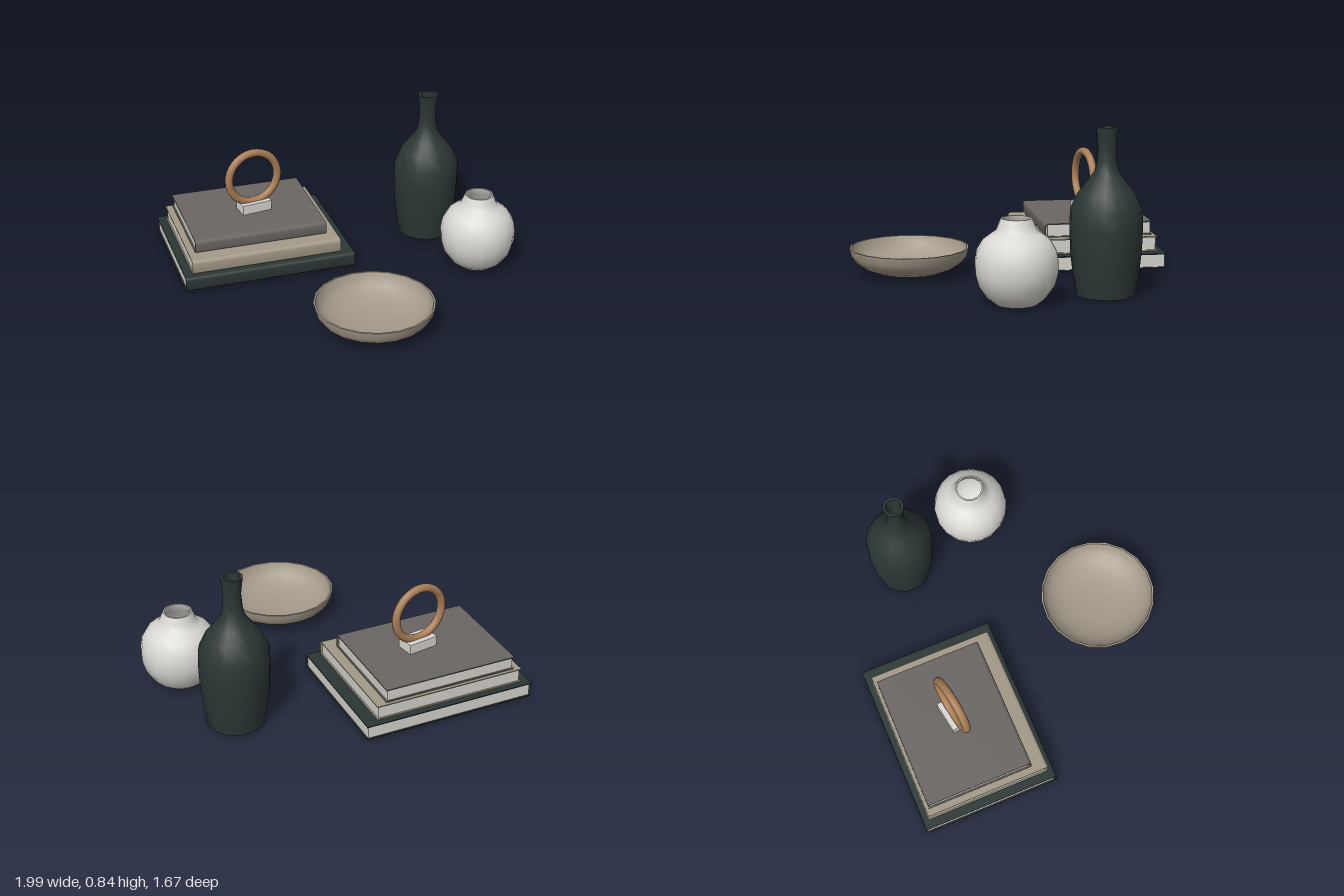
import * as THREE from 'three';
import { toCreasedNormals } from 'three/addons/utils/BufferGeometryUtils.js';

const mat = (name, color) => {
  const m = new THREE.MeshStandardMaterial({ color });
  m.name = name;
  return m;
};

const add = (parent, name, geometry, material, x = 0, y = 0, z = 0) => {
  const mesh = new THREE.Mesh(geometry, material);
  mesh.name = name;
  mesh.position.set(x, y, z);
  parent.add(mesh);
  return mesh;
};

// Turned vessel: outer wall from the base up, over the rim and down the inside
const turned = (points, sides) => toCreasedNormals(
  new THREE.LatheGeometry(points.map(([r, y]) => new THREE.Vector2(r, y)), sides), 0.75);

// Hardback book: C-shaped cover with a rounded spine at +z, page block inside
function book(name, w, h, d, coverMaterial, pageMaterial) {
  const g = new THREE.Group();
  g.name = name;
  const t = 0.006, r = 0.02, f = d / 2, b = -d / 2;
  const s = new THREE.Shape();
  s.moveTo(b, 0);
  s.lineTo(f - r, 0);
  s.quadraticCurveTo(f, 0, f, r);
  s.lineTo(f, h - r);
  s.quadraticCurveTo(f, h, f - r, h);
  s.lineTo(b, h);
  s.lineTo(b, h - t);
  s.lineTo(f - r, h - t);
  s.lineTo(f - t, h - r);
  s.lineTo(f - t, r);
  s.lineTo(f - r, t);
  s.lineTo(b, t);
  s.closePath();
  const cover = new THREE.ExtrudeGeometry(s, { depth: w, bevelEnabled: false, curveSegments: 5 });
  cover.translate(0, 0, -w / 2);
  cover.rotateY(-Math.PI / 2);
  add(g, name + 'Cover', toCreasedNormals(cover, 0.6), coverMaterial);
  const inset = 0.008, depth = d - inset - r + 0.004;
  add(g, name + 'Pages', new THREE.BoxGeometry(w - 2 * inset, h - 2 * t, depth), pageMaterial,
    0, h / 2, b + inset + depth / 2);
  return g;
}

export function createModel() {
  const model = new THREE.Group();
  model.name = 'shelfDecor';

  const darkGreen = mat('darkGreen', 0x2b3735);
  const taupe = mat('taupe', 0xa59b8b);
  const linen = mat('linen', 0xa39a88);
  const warmGrey = mat('warmGrey', 0x6b6663);
  const paper = mat('paper', 0xd4d2cb);
  const white = mat('white', 0xdad8d3);
  const wood = mat('wood', 0xa87d56);

  // Stack of three books
  [
    ['bottomBook', 0.953, 0.08, 0.756, darkGreen, -0.44, 0, -0.35],
    ['middleBook', 0.835, 0.08, 0.69, linen, -0.452, 0.08, -0.346],
    ['topBook', 0.74, 0.074, 0.59, warmGrey, -0.47, 0.16, -0.376],
  ].forEach(([name, w, h, d, cover, x, y, z]) => {
    const b = book(name, w, h, d, cover, paper);
    b.position.set(x, y, z);
    b.rotation.y = 0.262;
    model.add(b);
  });

  // Wooden ring standing in a small block
  const ring = new THREE.Group();
  ring.name = 'ringOrnament';
  ring.position.set(-0.435, 0.234, -0.372);
  ring.rotation.y = 0.42;
  add(ring, 'ringBase', new THREE.BoxGeometry(0.17, 0.055, 0.1), white, 0, 0.0275, 0);
  add(ring, 'woodenRing', new THREE.TorusGeometry(0.146, 0.022, 12, 36), wood, 0, 0.197, 0);
  model.add(ring);

  // Tall bottle
  add(model, 'tallBottle', turned([
    [0, 0], [0.149, 0], [0.165, 0.1], [0.178, 0.22], [0.182, 0.33], [0.18, 0.43],
    [0.143, 0.51], [0.095, 0.57], [0.06, 0.62], [0.05, 0.67], [0.045, 0.74],
    [0.052, 0.8], [0.056, 0.838], [0.04, 0.838], [0.036, 0.74], [0.036, 0.6], [0, 0.6],
  ], 16), darkGreen, 0.547, 0, -0.54);

  // Round vase
  add(model, 'roundVase', turned([
    [0, 0], [0.103, 0], [0.145, 0.033], [0.185, 0.09], [0.202, 0.15], [0.205, 0.205],
    [0.195, 0.265], [0.165, 0.315], [0.125, 0.345], [0.1, 0.363], [0.09, 0.39],
    [0.076, 0.422], [0.068, 0.422], [0.08, 0.38], [0.15, 0.31], [0.185, 0.2],
    [0.15, 0.07], [0.09, 0.02], [0, 0.02],
  ], 18), white, 0.793, 0, -0.12);

  // Shallow bowl
  add(model, 'shallowBowl', turned([
    [0, 0], [0.134, 0], [0.19, 0.015], [0.24, 0.036], [0.285, 0.067], [0.308, 0.1],
    [0.316, 0.14], [0.306, 0.14], [0.296, 0.104], [0.273, 0.074], [0.23, 0.047],
    [0.18, 0.029], [0.12, 0.018], [0, 0.015],
  ], 20), taupe, 0.18, 0, 0.515);

  return model;
}
